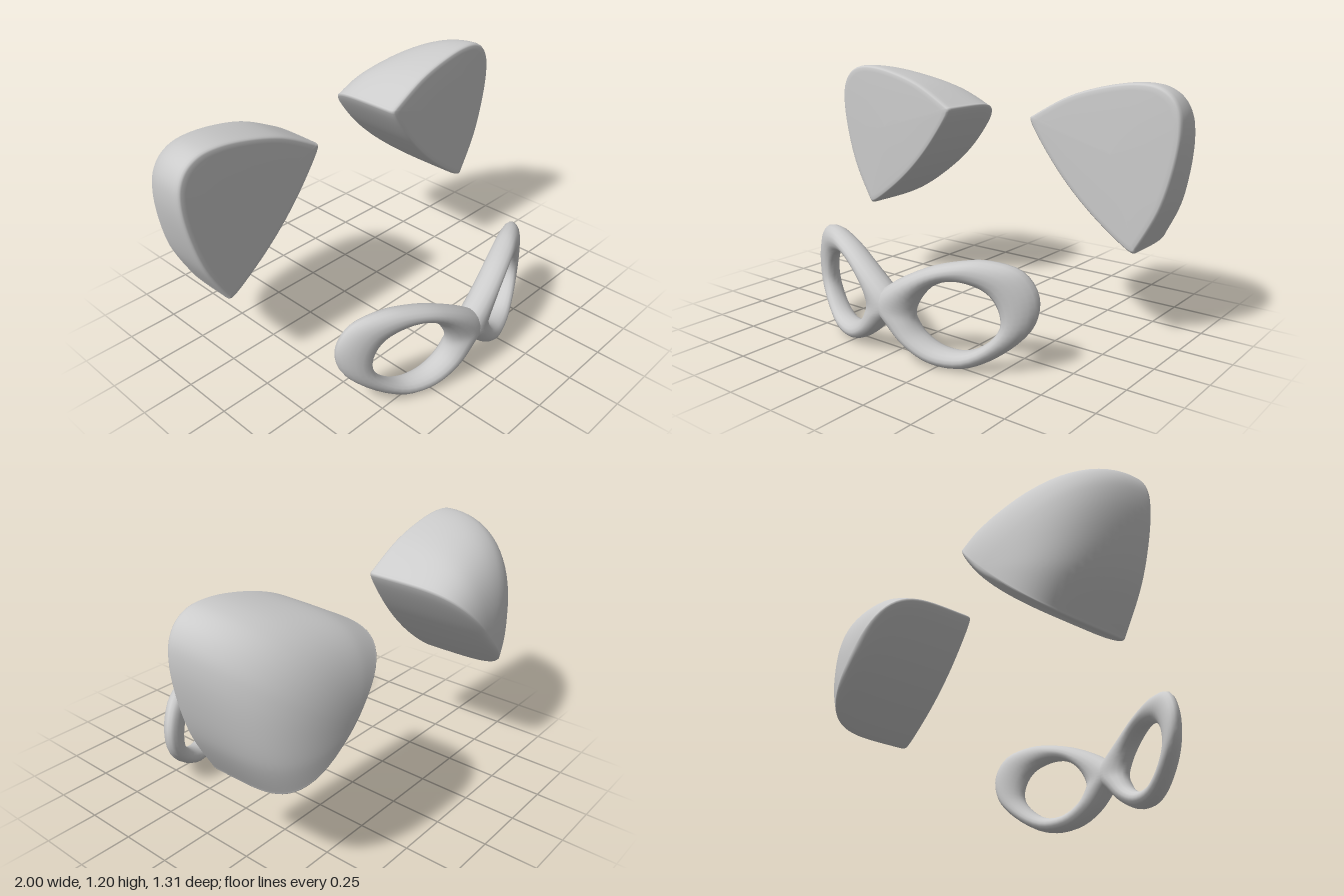
import * as THREE from 'three';

const material = new THREE.MeshStandardMaterial({ color: 0xcccccc });

// Skin a list of closed loops; side -1 mirrors the surface in x.
function skin(loops, side, closed) {
  const n = loops[0].length, rows = loops.length, index = [];
  const positions = loops.flat().flatMap(([x, y, z]) => [x * side, y, z]);
  for (let r = 0; r < (closed ? rows : rows - 1); r++) {
    for (let k = 0; k < n; k++) {
      const k2 = (k + 1) % n, r2 = (r + 1) % rows;
      const a = r * n + k, b = r * n + k2, c = r2 * n + k2, d = r2 * n + k;
      if (side > 0) index.push(a, d, c, a, c, b);
      else index.push(a, c, d, a, b, c);
    }
  }
  const g = new THREE.BufferGeometry();
  g.setAttribute('position', new THREE.Float32BufferAttribute(positions, 3));
  g.setIndex(index);
  g.computeVertexNormals();
  return g;
}

const closedCurve = (pts) =>
  new THREE.CatmullRomCurve3(pts.map(([x, y]) => new THREE.Vector3(x, y, 0)), true, 'centripetal');

// Ear: rounded triangular front, straight inner flank, domed back.
// u runs diagonally up and out, v runs along the inner edge.
function earGeometry(side) {
  const half = [[-0.045, 0.2], [-0.008, 0.388], [0.003, 0.399], [0.02, 0.395], [0.226, 0.333],
    [0.41, 0.233], [0.53, 0.141], [0.587, 0.07]];
  const outline = closedCurve([[-0.058, 0], ...half.map(([u, v]) => [u, -v]), [0.605, 0],
    ...half.slice().reverse()]).getPoints(108).slice(0, -1);
  const place = (u, v, z) =>
    [0.525 + (u - v) * Math.SQRT1_2, 0.725 + (u + v) * Math.SQRT1_2, z];

  // nearly flat front with a small rounded edge
  const loops = [[0, -0.124], [0.5, -0.126], [0.9, -0.129], [0.96, -0.131], [0.98, -0.135],
    [0.993, -0.143], [1, -0.158]].map(([s, z]) =>
    outline.map((p) => place(0.22 + (p.x - 0.22) * s, p.y * s, z)));

  // back: the outer side rounds off early, the inner flank stays straight for longer
  const steps = 22;
  for (let i = 1; i <= steps; i++) {
    const t = Math.sin((i / steps) * Math.PI / 2);
    const outer = Math.sqrt(Math.max(0, 1 - t * t));
    const inner = Math.pow(Math.max(0, 1 - t ** 5), 0.4);
    loops.push(outline.map((p) =>
      place(p.x * (p.x > 0 ? outer : inner), p.y * inner, -0.158 - 0.497 * t)));
  }
  return skin(loops, side, false);
}

// Mask half: a soft ring around the eye hole, bent back towards the temple.
// It reaches just past the middle so that the halves merge at the bridge.
function maskGeometry(side) {
  const rim = closedCurve([[-0.08, 0.245], [0, 0.326], [0.2, 0.44], [0.33, 0.48], [0.45, 0.493],
    [0.58, 0.455], [0.64, 0.35], [0.625, 0.22], [0.54, 0.11], [0.38, 0.01], [0.23, 0.01],
    [0.1, 0.075], [0, 0.166]]);
  const hole = closedCurve([[0.135, 0.22], [0.15, 0.27], [0.2, 0.34], [0.28, 0.385], [0.36, 0.39],
    [0.45, 0.355], [0.495, 0.29], [0.505, 0.21], [0.46, 0.14], [0.37, 0.085], [0.26, 0.085],
    [0.175, 0.13], [0.14, 0.18]]);
  const bend = (x) => 0.58 - 0.2 * (Math.hypot(x, 0.15) - 0.15) - 0.28 * x * x;
  const loops = [], around = 52, sides = 16;
  for (let i = 0; i < around; i++) {
    const o = rim.getPoint(i / around), h = hole.getPoint(i / around);
    const section = [];
    for (let j = 0; j < sides; j++) {
      const a = (j / sides) * Math.PI * 2, k = 0.5 + 0.5 * Math.cos(a);
      const x = h.x + (o.x - h.x) * k, y = h.y + (o.y - h.y) * k;
      section.push([x, y, bend(x) - (0.072 - 0.03 * Math.abs(x)) * Math.sin(a)]);
    }
    loops.push(section);
  }
  return skin(loops, side, true);
}

export function createModel() {
  const model = new THREE.Group();
  model.name = 'maskAndEars';
  const mask = new THREE.Group();
  mask.name = 'eyeMask';
  model.add(mask);
  for (const [side, label] of [[1, 'left'], [-1, 'right']]) {
    const ear = new THREE.Mesh(earGeometry(side), material);
    ear.name = label + 'Ear';
    model.add(ear);
    const ring = new THREE.Mesh(maskGeometry(side), material);
    ring.name = label + 'EyeRing';
    mask.add(ring);
  }
  return model;
}
